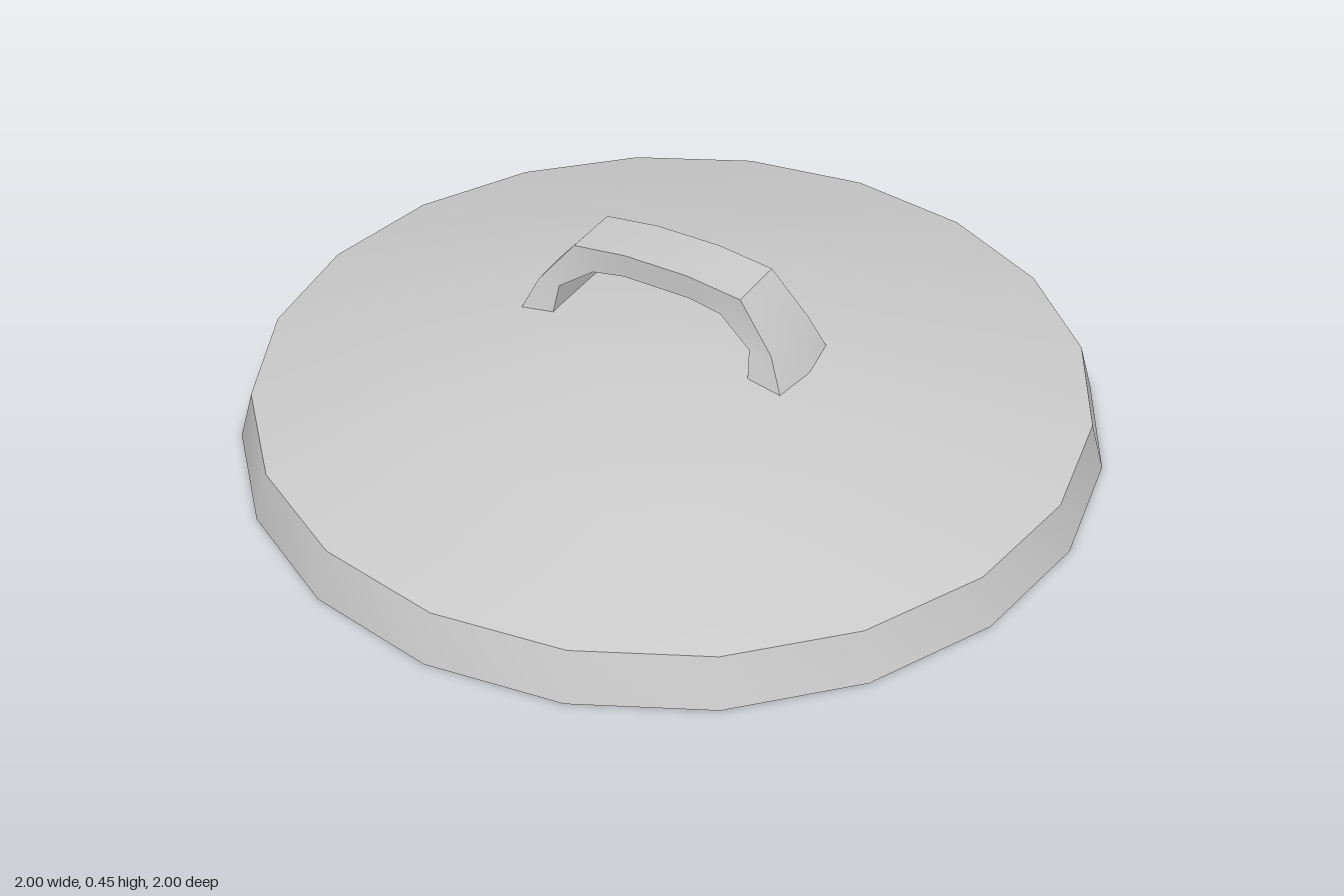
import * as THREE from 'three';
import { toCreasedNormals } from 'three/addons/utils/BufferGeometryUtils.js';

const material = new THREE.MeshStandardMaterial({ color: 0xcccccc });

function addPart(group, name, geometry) {
  const mesh = new THREE.Mesh(toCreasedNormals(geometry, 0.65), material);
  mesh.name = name;
  group.add(mesh);
}

// Closed shell: flat underside, inner wall, lip, outer rim, shallow dome
function lidGeometry() {
  const profile = [
    [0, 0.1], [0.915, 0.1], [0.945, 0], [1, 0], [0.967, 0.115],
    [0.62, 0.2], [0.27, 0.255], [0, 0.26],
  ].map(([r, y]) => new THREE.Vector2(r, y));
  return new THREE.LatheGeometry(profile, 20);
}

// Arched strap lofted through mirrored stations, flaring at both feet
function handleGeometry() {
  // outer x, outer y, inner x, inner y, half width, outward bow
  const half = [
    [0.342, 0.235, 0.258, 0.23, 0.112, 0.017],
    [0.303, 0.32, 0.248, 0.318, 0.088, 0.006],
    [0.215, 0.43, 0.165, 0.375, 0.072, 0],
    [0.08, 0.447, 0.085, 0.39, 0.072, 0],
  ];
  const stations = [
    ...half.map((s) => [-1, ...s]),
    ...half.slice().reverse().map((s) => [1, ...s]),
  ];
  const positions = [];
  const index = [];
  const n = 5;
  stations.forEach(([side, ox, oy, ix, iy, w, bow], i) => {
    positions.push(
      side * ox, oy, -w,
      side * (ox + bow), oy, 0,
      side * ox, oy, w,
      side * ix, iy, w,
      side * ix, iy, -w,
    );
    if (i === 0) return;
    for (let k = 0; k < n; k++) {
      const a = (i - 1) * n + k;
      const b = (i - 1) * n + ((k + 1) % n);
      index.push(a, b, a + n, b, b + n, a + n);
    }
  });
  const geometry = new THREE.BufferGeometry();
  geometry.setAttribute('position', new THREE.Float32BufferAttribute(positions, 3));
  geometry.setIndex(index);
  return geometry;
}

export function createModel() {
  const group = new THREE.Group();
  group.name = 'potLid';
  addPart(group, 'lid', lidGeometry());
  addPart(group, 'handle', handleGeometry());
  return group;
}
